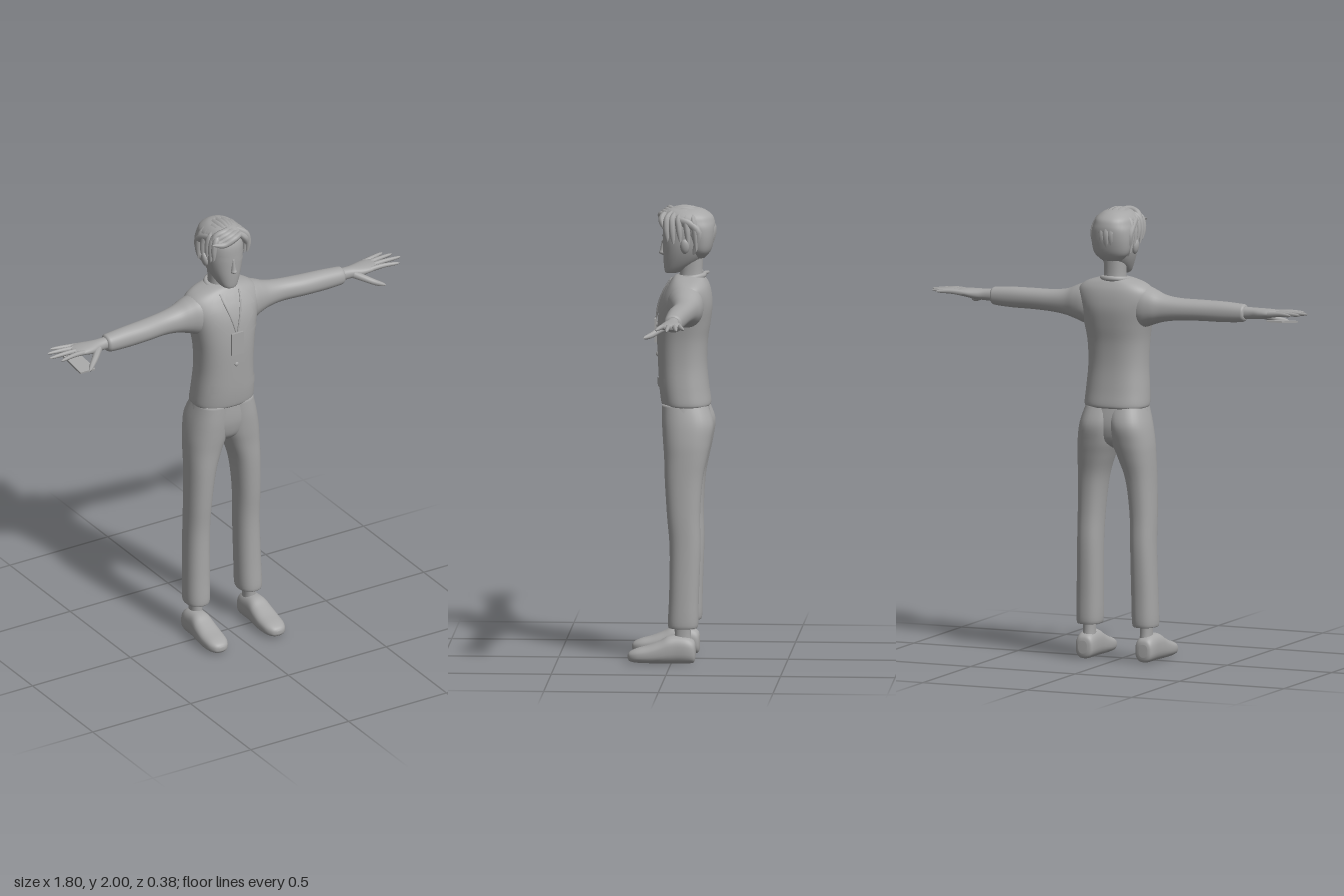
import * as THREE from 'three';

const grey = new THREE.MeshStandardMaterial({ color: 0xa6a6a6 });
grey.name = 'plain grey';
const V = (x, y, z) => new THREE.Vector3(x, y, z);

// Smoothly subdivides rows of [t, a0, a1, b0, b1]
function dense(rows, sub = 5) {
  const out = [], at = i => rows[Math.max(0, Math.min(rows.length - 1, i))];
  for (let i = 0; i < rows.length - 1; i++) {
    for (let k = 0; k < sub; k++) {
      const u = k / sub;
      out.push(rows[i].map((p, c) => {
        const m0 = (at(i + 1)[c] - at(i - 1)[c]) / 2, m1 = (at(i + 2)[c] - p) / 2, q = at(i + 1)[c];
        return p * (1 - u * u * (3 - 2 * u)) + q * u * u * (3 - 2 * u) + m0 * u * (1 - u) ** 2 - m1 * u * u * (1 - u);
      }));
    }
  }
  out.push(rows[rows.length - 1]);
  return out;
}

// Rounded cross-sections along an axis: y has a=x b=z, x has a=z b=y, z has a=y b=x
function loft(rows, axis = 'y', n = 2.2, seg = 32) {
  const d = dense(rows), pos = [], idx = [];
  const put = (t, a, b) => pos.push(...(axis === 'y' ? [a, t, b] : axis === 'x' ? [t, b, a] : [b, a, t]));
  const bend = v => Math.sign(v) * Math.abs(v) ** (2 / n);
  for (const [t, a0, a1, b0, b1] of d) {
    for (let j = 0; j < seg; j++) {
      const th = j / seg * Math.PI * 2;
      put(t, (a0 + a1) / 2 + bend(Math.cos(th)) * (a1 - a0) / 2, (b0 + b1) / 2 + bend(Math.sin(th)) * (b1 - b0) / 2);
    }
  }
  for (let i = 0; i < d.length - 1; i++) {
    for (let j = 0; j < seg; j++) {
      const a = i * seg + j, b = i * seg + (j + 1) % seg;
      idx.push(a, a + seg, b, b, a + seg, b + seg);
    }
  }
  const top = (d.length - 1) * seg, c = d.length * seg;
  for (const r of [d[0], d[d.length - 1]]) put(r[0], (r[1] + r[2]) / 2, (r[3] + r[4]) / 2);
  for (let j = 0; j < seg; j++) {
    const k = (j + 1) % seg;
    idx.push(c, j, k, c + 1, top + k, top + j);
  }
  const g = new THREE.BufferGeometry();
  g.setAttribute('position', new THREE.Float32BufferAttribute(pos, 3));
  g.setIndex(idx);
  g.computeVertexNormals();
  return g;
}

// Tapered tube for fingers and locks of hair
function strand(points, r, taper) {
  const curve = new THREE.CatmullRomCurve3(points), n = 16, m = 8;
  const g = new THREE.TubeGeometry(curve, n, r, m), p = g.attributes.position, v = V(0, 0, 0);
  for (let i = 0; i <= n; i++) {
    const c = curve.getPointAt(i / n);
    for (let j = 0; j <= m; j++) {
      const k = i * (m + 1) + j;
      v.fromBufferAttribute(p, k).sub(c).multiplyScalar(taper(i / n)).add(c);
      p.setXYZ(k, v.x, v.y, v.z);
    }
  }
  return g;
}
const fingerTaper = t => (1 - 0.4 * t) * Math.sqrt(1 - t ** 8);
const hairTaper = t => Math.max(0, Math.sin(Math.PI * (0.15 + 0.85 * t))) ** 0.6;

function mirror(g) {
  const m = g.clone().scale(-1, 1, 1), ix = m.index.array;
  for (let i = 0; i < ix.length; i += 3) [ix[i + 1], ix[i + 2]] = [ix[i + 2], ix[i + 1]];
  return m;
}

// Front surface height of a y loft
function frontZ(rows, n) {
  const d = dense(rows);
  return (x, y) => {
    let i = 0;
    while (i < d.length - 2 && d[i + 1][0] < y) i++;
    const u = (y - d[i][0]) / (d[i + 1][0] - d[i][0]);
    const [, a0, a1, b0, b1] = d[i].map((p, c) => p + (d[i + 1][c] - p) * u);
    const k = Math.min(1, Math.abs(x) / ((a1 - a0) / 2));
    return (b0 + b1) / 2 + (b1 - b0) / 2 * (1 - k ** n) ** (1 / n);
  };
}

// Thin patch hugging a front surface; corners: top left, top right, bottom left, bottom right
function patch(surface, [a, b, c, d], lift) {
  const g = new THREE.PlaneGeometry(1, 1, 8, 8), p = g.attributes.position;
  for (let i = 0; i < p.count; i++) {
    const u = p.getX(i) + 0.5, v = 0.5 - p.getY(i);
    const [x, y] = [0, 1].map(k => (a[k] * (1 - u) + b[k] * u) * (1 - v) + (c[k] * (1 - u) + d[k] * u) * v);
    p.setXYZ(i, x, y, surface(x, y) + lift);
  }
  g.computeVertexNormals();
  return g;
}

const sym = rows => rows.map(([y, w, z0, z1]) => [y, -w, w, z0, z1]);

export function createModel() {
  const model = new THREE.Group();
  model.name = 'figure';
  const add = (name, g) => {
    const m = new THREE.Mesh(g, grey);
    m.name = name;
    model.add(m);
    return m;
  };
  const pair = (name, g) => { add('left ' + name, g); add('right ' + name, mirror(g)); };

  // Jacket body
  const body = sym([[1.12, .138, -.16, .045], [1.135, .144, -.165, .052], [1.2, .14, -.156, .06], [1.3, .133, -.147, .066],
    [1.4, .136, -.15, .07], [1.48, .148, -.162, .068], [1.55, .164, -.17, .06], [1.6, .175, -.167, .045],
    [1.64, .168, -.158, .025], [1.667, .135, -.145, .008], [1.685, .08, -.132, -.008], [1.692, .05, -.12, -.03]]);
  add('jacket', loft(body, 'y', 2.4, 48));
  const chest = frontZ(body, 2.4);

  // Sleeves, hands and fingers
  pair('sleeve', loft([[.06, -.13, .02, 1.49, 1.65], [.13, -.14, .02, 1.475, 1.66], [.18, -.135, .005, 1.49, 1.645],
    [.23, -.122, -.008, 1.505, 1.624], [.3, -.11, -.012, 1.515, 1.613], [.4, -.097, 0, 1.518, 1.61],
    [.5, -.086, .002, 1.518, 1.608], [.58, -.078, .002, 1.522, 1.603], [.6, -.075, -.002, 1.527, 1.6], [.607, -.065, -.012, 1.535, 1.592]], 'x'));
  pair('hand', loft([[.59, -.065, -.012, 1.537, 1.592], [.64, -.066, -.008, 1.54, 1.59], [.68, -.076, .005, 1.542, 1.589],
    [.72, -.085, .01, 1.55, 1.588], [.755, -.084, .006, 1.556, 1.585], [.775, -.07, -.01, 1.563, 1.58]], 'x'));
  [[-.074, .85, -.1], [-.052, .882, -.07], [-.028, .9, -.028], [-.004, .865, .02]].forEach(([z, tx, tz], i) =>
    pair('finger ' + (i + 1), strand([V(.73, 1.57, z), V(.79, 1.575, z * .65 + tz * .35), V(tx, 1.574, tz)], .0125, fingerTaper)));
  pair('thumb', strand([V(.655, 1.56, -.015), V(.69, 1.545, .02), V(.725, 1.53, .05), V(.758, 1.522, .082)], .018, fingerTaper));

  // Flat device under the right hand
  const device = add('handheld device', new THREE.BoxGeometry(.075, .008, .165));
  device.position.set(-.765, 1.532, -.005);
  device.rotation.x = .13;

  // Trousers
  pair('trouser leg', loft([[.155, .09, .178, -.105, .005], [.17, .078, .188, -.117, .015], [.3, .075, .186, -.12, .01],
    [.5, .073, .181, -.127, .008], [.65, .068, .18, -.125, .02], [.8, .05, .177, -.135, .03], [.9, .018, .175, -.155, .034],
    [.97, -.008, .171, -.17, .04], [1.05, -.02, .158, -.179, .045], [1.13, -.03, .136, -.15, .045]], 'y', 2.3));
  add('trouser seat', loft(sym([[.94, .04, -.1, 0], [.97, .1, -.145, .028], [1.02, .145, -.162, .042], [1.07, .15, -.163, .046], [1.14, .135, -.15, .044]])));

  // Ankles and shoes
  pair('ankle', loft([[.07, .107, .165, -.09, -.01], [.13, .11, .162, -.085, -.015], [.22, .108, .164, -.09, -.01]]));
  pair('shoe', loft([[-.106, .025, .08, .125, .165], [-.098, .004, .1, .105, .18], [-.07, 0, .116, .098, .188], [-.02, 0, .122, .097, .19],
    [.015, 0, .118, .095, .194], [.05, 0, .099, .092, .198], [.1, 0, .078, .091, .2], [.15, .002, .064, .097, .195],
    [.18, .008, .05, .114, .179], [.19, .02, .036, .135, .158]], 'z', 2.5));

  // Neck, collar and head
  add('neck', loft(sym([[1.64, .056, -.135, -.02], [1.7, .048, -.128, -.028], [1.78, .05, -.13, -.03]])));
  const collar = add('collar', new THREE.TorusGeometry(.058, .012, 10, 36));
  collar.position.set(0, 1.682, -.075);
  collar.rotation.x = Math.PI / 2 + .12;
  const skull = sym([[1.697, .015, -.01, .03], [1.707, .037, -.04, .038], [1.75, .061, -.11, .043], [1.8, .078, -.15, .045],
    [1.85, .085, -.163, .046], [1.91, .084, -.165, .042], [1.955, .065, -.14, .015], [1.975, .03, -.1, -.03]]);
  add('head', loft(skull, 'y', 2.3));
  const face = frontZ(skull, 2.3);
  add('nose', loft(sym([[1.775, .006, .03, .046], [1.785, .014, .03, .063], [1.8, .011, .03, .058], [1.845, .006, .03, .049]]), 'y', 2, 12));
  pair('eye', patch(face, [[.022, 1.843], [.062, 1.843], [.025, 1.83], [.06, 1.83]], .004));
  pair('eyebrow', patch(face, [[.018, 1.868], [.064, 1.872], [.018, 1.861], [.066, 1.864]], .005));
  add('mouth', patch(face, [[-.02, 1.749], [.02, 1.749], [-.018, 1.745], [.018, 1.745]], .003));
  pair('ear', new THREE.SphereGeometry(1, 16, 12).scale(.014, .033, .02).rotateZ(-.15).translate(.086, 1.825, -.055));

  // Hair: a cap with locks laid over it
  add('hair cap', loft(sym([[1.768, .045, -.14, -.09], [1.8, .078, -.165, -.07], [1.85, .09, -.178, -.055], [1.9, .093, -.183, -.02],
    [1.93, .091, -.18, .04], [1.955, .082, -.168, .045], [1.978, .056, -.135, .025], [1.988, .025, -.1, -.01]])));
  for (let i = -4; i <= 4; i++) {
    const x = .021 * i, k = 6 * x * x, c = 8 * x * x;
    add('back lock', strand([V(x * .6, 1.966 - k * .6, .03), V(x * .9, 1.98 - k, -.045), V(x, 1.958 - k, -.125 + c * .6),
      V(x, 1.9 - k * .4, -.171 + c), V(x * .9, 1.825, -.16 + c), V(x * .6, 1.765, -.135 + c)], .019, hairTaper));
  }
  [[.025, 1.845], [0, 1.83], [-.03, 1.84], [-.065, 1.82], [-.1, 1.8]].forEach(([z, end]) =>
    pair('side lock', strand([V(.03, 1.972, z * .7 - .02), V(.074, 1.945, z * .9), V(.087, 1.9, z), V(.085, end, z - .006)], .015, hairTaper)));
  for (let i = 0; i < 4; i++) {
    add('fringe lock', strand([V(.045 - i * .012, 1.958 + i * .006, .035 - i * .012), V(0 - i * .01, 1.952 + i * .008, .053 - i * .012),
      V(-.05 - i * .006, 1.93 + i * .01, .046 - i * .012), V(-.103 + i * .005, 1.938 - i * .012, .034 - i * .012)], .016, hairTaper));
  }
  add('short fringe lock', strand([V(.03, 1.965, .035), V(.055, 1.94, .046), V(.076, 1.895, .032)], .016, hairTaper));

  // Lapels, tie knot, pockets, seam and buttons
  pair('lapel', patch(chest, [[.035, 1.672], [.085, 1.63], [.004, 1.45], [.1, 1.56]], .006));
  pair('collar flap', patch(chest, [[.045, 1.675], [.085, 1.655], [.06, 1.605], [.115, 1.6]], .008));
  add('tie knot', patch(chest, [[-.018, 1.665], [.018, 1.665], [-.011, 1.625], [.011, 1.625]], .009));
  pair('hip pocket flap', patch(chest, [[.04, 1.245], [.118, 1.245], [.04, 1.205], [.118, 1.205]], .007));
  add('breast pocket', patch(chest, [[.075, 1.487], [.125, 1.497], [.075, 1.473], [.125, 1.483]], .006));
  add('front seam', patch(chest, [[-.002, 1.4], [.002, 1.4], [-.002, 1.13], [.002, 1.13]], .003));
  for (const y of [1.34, 1.47]) {
    add('button', new THREE.SphereGeometry(.01, 12, 8).scale(1, 1, .5)).position.set(0, y, chest(0, y) + .003);
  }

  // Lanyard and badge
  pair('lanyard', strand([[.05, 1.67], [.038, 1.62], [.02, 1.56], [.004, 1.5]].map(([x, y]) => V(x, y, chest(x, y) + .007)), .004, () => 1));
  add('badge', new THREE.BoxGeometry(.06, .105, .009)).position.set(0, 1.445, .077);
  return model;
}
